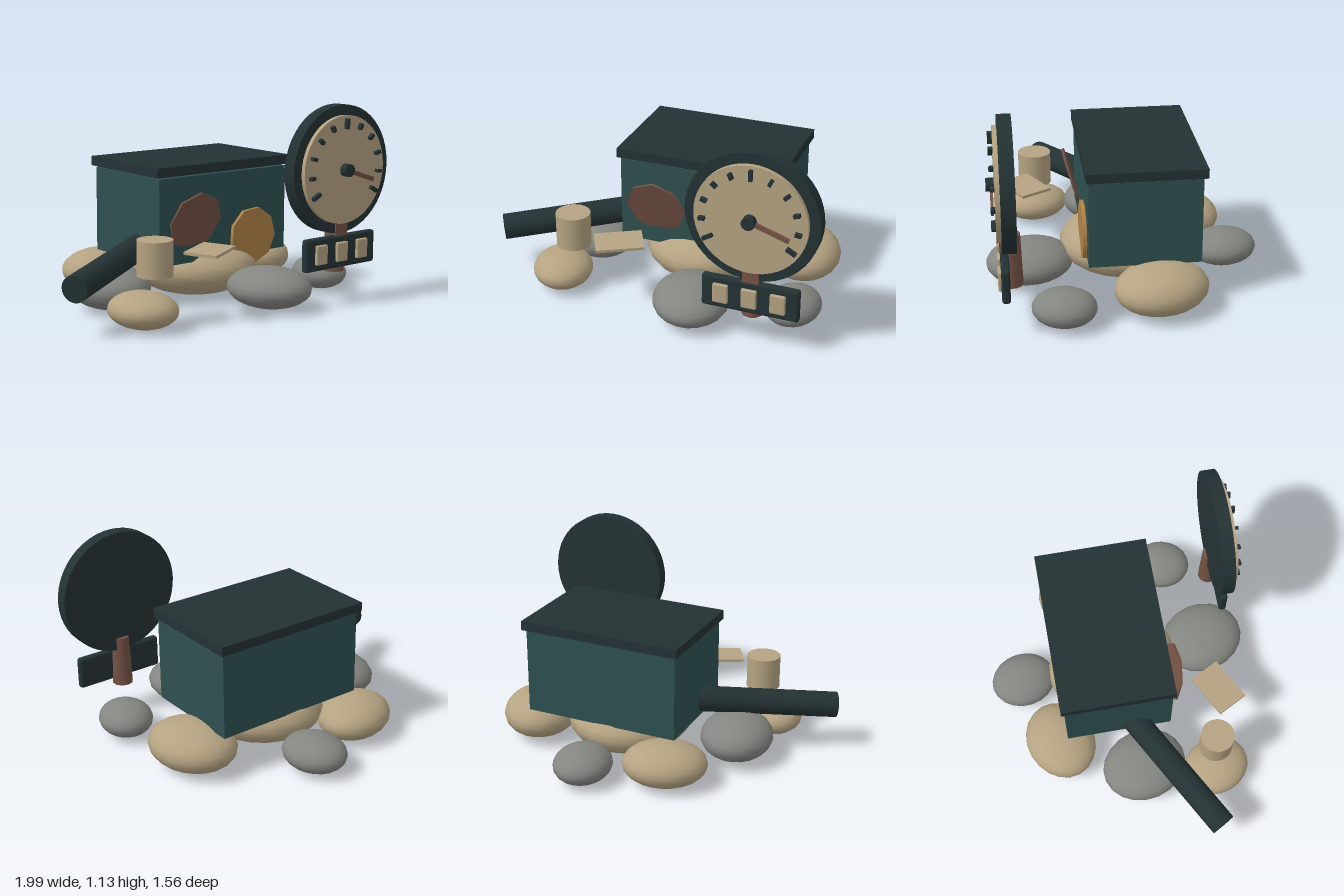
import * as THREE from 'three';
import { RoundedBoxGeometry } from 'three/addons/geometries/RoundedBoxGeometry.js';

const material = (name, color) => {
  const m = new THREE.MeshStandardMaterial({ color });
  m.name = name;
  return m;
};

export function createModel() {
  const model = new THREE.Group();
  const teal = material('teal', 0x2f5050);
  const dark = material('dark slate', 0x243234);
  const tan = material('tan', 0xb5a382);
  const grey = material('grey stone', 0x848681);
  const brown = material('brown', 0x745244);
  const ochre = material('ochre', 0xb08348);

  const add = (name, geometry, mat, x, y, z, parent = model) => {
    const mesh = new THREE.Mesh(geometry, mat);
    mesh.name = name;
    mesh.position.set(x, y, z);
    parent.add(mesh);
    return mesh;
  };
  const box = (w, h, d) => new THREE.BoxGeometry(w, h, d);
  // Disc whose axis runs along z
  const disc = (r, depth, sides) => new THREE.CylinderGeometry(r, r, depth, sides).rotateX(Math.PI / 2);

  // Stones: material, centre, half sizes, turn about y
  const stones = [
    [tan, 0.14, 0.18, -0.04, 0.36, 0.175, 0.395, 0.12],
    [tan, -0.26, 0.13, -0.43, 0.24, 0.12, 0.20, 0.35],
    [grey, -0.50, 0.145, 0.035, 0.21, 0.125, 0.25, 0.25],
    [tan, -0.57, 0.11, 0.455, 0.17, 0.1, 0.20, 0.35],
    [grey, 0.245, 0.125, 0.53, 0.215, 0.115, 0.25, 0.25],
    [grey, 0.78, 0.112, 0.375, 0.153, 0.098, 0.176, -0.2],
    [tan, 0.68, 0.145, -0.16, 0.22, 0.135, 0.265, 0.3],
    [grey, 0.167, 0.11, -0.592, 0.165, 0.1, 0.194, 0.15],
  ];
  stones.forEach(([mat, x, y, z, rx, ry, rz, turn], i) => {
    const stone = add('stone' + (i + 1), new THREE.SphereGeometry(1, 20, 14), mat, x, y, z);
    stone.scale.set(rx, ry, rz);
    stone.rotation.y = turn;
  });

  // Chest and its overhanging lid
  add('chest', box(0.92, 0.49, 0.615), teal, 0.165, 0.5, -0.0785);
  add('lid', box(0.96, 0.054, 0.65), dark, 0.165, 0.782, -0.083);

  // Pipe leaving the side of the chest
  const start = new THREE.Vector3(-0.965, 0.27, 0.41);
  const end = new THREE.Vector3(-0.2, 0.345, -0.028);
  const along = end.clone().sub(start);
  const middle = start.clone().add(end).multiplyScalar(0.5);
  const pipe = add('pipe', new THREE.CylinderGeometry(0.074, 0.074, along.length(), 20), dark, ...middle);
  pipe.quaternion.setFromUnitVectors(new THREE.Vector3(0, 1, 0), along.normalize());

  // Cup and loose sheet
  add('cup', new THREE.CylinderGeometry(0.098, 0.098, 0.195, 24), tan, -0.493, 0.38, 0.457);
  const sheet = add('sheet', box(0.267, 0.016, 0.188), tan, -0.182, 0.391, 0.53);
  sheet.rotation.set(0.03, 0.49, 0);

  // Patches leaning on the chest front
  const brownPatch = add('brownPatch', disc(0.175, 0.012, 8), brown, -0.07, 0.495, 0.265);
  brownPatch.rotation.x = 0.29;
  const ochrePatch = add('ochrePatch', disc(0.165, 0.025, 9), ochre, 0.37, 0.36, 0.238);
  ochrePatch.rotation.z = 0.1;

  // Post carrying dial and plaque
  add('post', new THREE.CylinderGeometry(0.05, 0.06, 0.3, 10), brown, 0.632, 0.34, 0.642);
  add('postClamp', box(0.09, 0.07, 0.03), brown, 0.633, 0.432, 0.685);

  const dial = new THREE.Group();
  dial.name = 'dial';
  dial.position.set(0.63, 0.775, 0);
  model.add(dial);
  add('rim', disc(0.362, 0.076, 48), dark, 0, 0, 0.655, dial);
  add('face', disc(0.305, 0.026, 48), tan, 0, 0, 0.705, dial);
  add('hub', disc(0.036, 0.044, 20), dark, 0, 0, 0.739, dial);
  const needle = add('needle', box(0.215, 0.024, 0.016), brown, 0.109, -0.036, 0.732, dial);
  needle.rotation.z = -0.32;

  // Eleven marks sweeping 240 degrees
  for (let i = 0; i < 11; i++) {
    const angle = THREE.MathUtils.degToRad(-30 + 24 * i);
    const long = i % 5 === 0;
    const mark = add('mark', box(long ? 0.058 : 0.034, 0.019, 0.024), dark,
      0.258 * Math.cos(angle), 0.258 * Math.sin(angle), 0.73, dial);
    mark.rotation.z = angle;
  }

  // Plaque with three windows
  add('plaque', new RoundedBoxGeometry(0.535, 0.187, 0.045, 2, 0.015), dark, 0.632, 0.308, 0.68);
  for (const x of [-0.157, 0, 0.157]) {
    add('plaqueWindow', new RoundedBoxGeometry(0.085, 0.112, 0.03, 2, 0.008), tan, 0.63 + x, 0.308, 0.704);
  }
  return model;
}
